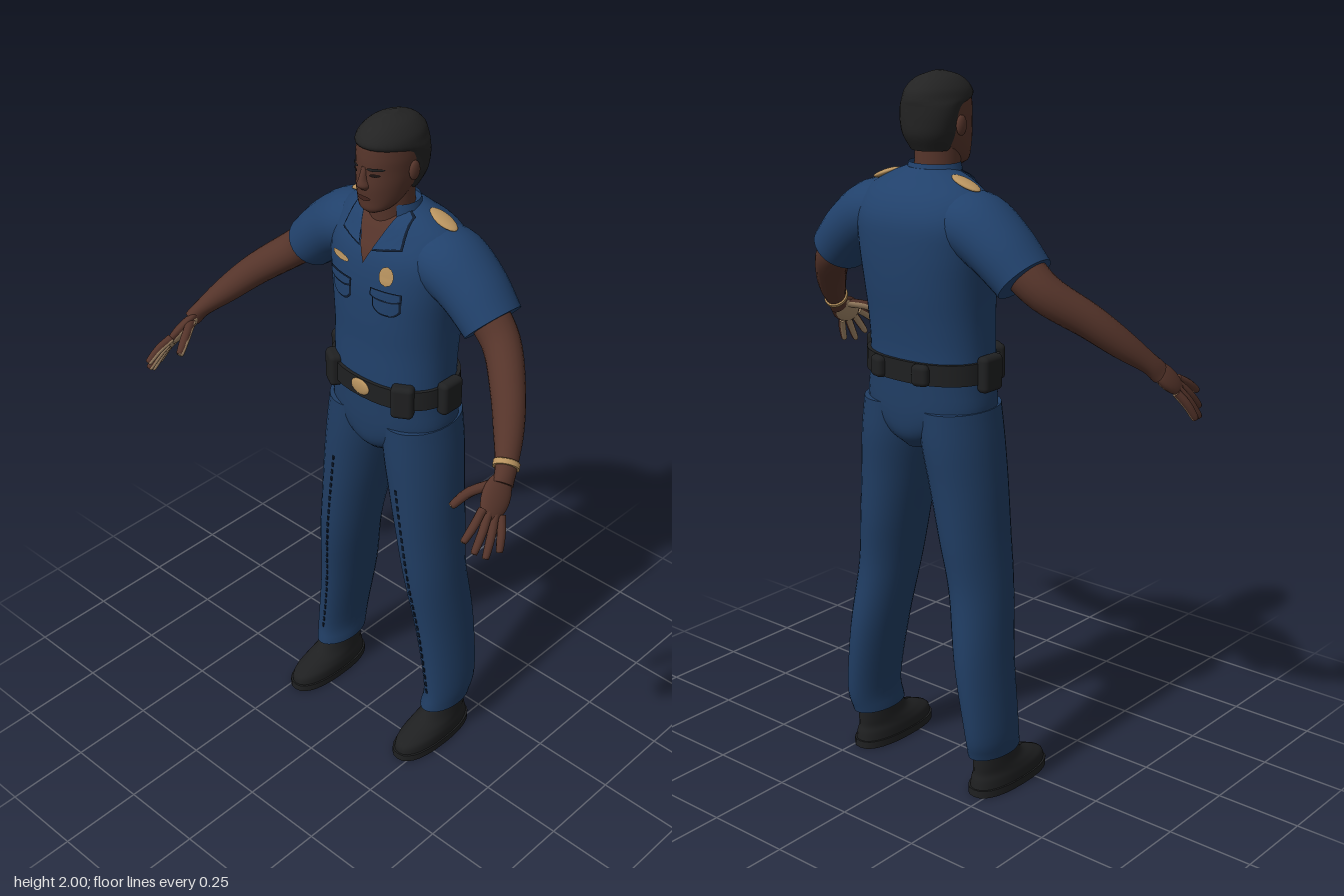
import * as THREE from 'three';
import { RoundedBoxGeometry } from 'three/addons/geometries/RoundedBoxGeometry.js';

const V = (x, y, z) => new THREE.Vector3(x, y, z);
const mat = (name, color, side = THREE.FrontSide) => {
  const m = new THREE.MeshStandardMaterial({ color, side });
  m.name = name;
  return m;
};

// Smoothly interpolated cross-sections; a key is [x, y, z, radiusU, radiusV, squareness]
function sections(keys, count) {
  const pos = new THREE.CatmullRomCurve3(keys.map(k => V(k[0], k[1], k[2])), false, 'catmullrom');
  const rad = new THREE.CatmullRomCurve3(keys.map(k => V(k[3], k[4], k[5] ?? 2)), false, 'catmullrom');
  return Array.from({ length: count + 1 }, (_, i) => {
    const t = i / count, r = rad.getPoint(t);
    return { c: pos.getPoint(t), t: pos.getTangent(t), a: r.x, b: r.y, p: r.z };
  });
}

// Closed skin over the sections: level rings for the body, or rings across the path for limbs
function loft(keys, { across = false, sides = 28, steps = 5 } = {}) {
  const rings = sections(keys, (keys.length - 1) * steps), verts = [], index = [];
  const addRing = ({ c, t, a, b, p }) => {
    const axis = across ? t : V(0, 1, 0);
    const v = V(0, 0, 1).addScaledVector(axis, -axis.z).normalize();
    const u = axis.clone().cross(v);
    for (let j = 0; j < sides; j++) {
      const w = j / sides * Math.PI * 2, co = Math.cos(w), si = Math.sin(w);
      const q = c.clone().addScaledVector(u, a * Math.sign(co) * Math.abs(co) ** (2 / p))
        .addScaledVector(v, b * Math.sign(si) * Math.abs(si) ** (2 / p));
      verts.push(q.x, q.y, q.z);
    }
  };
  rings.forEach(addRing);
  for (let i = 0; i < rings.length - 1; i++) for (let j = 0; j < sides; j++) {
    const a = i * sides + j, b = i * sides + (j + 1) % sides;
    index.push(a, a + sides, b, b, a + sides, b + sides);
  }
  [rings[0], rings[rings.length - 1]].forEach((r, end) => {
    const base = verts.length / 3;
    addRing(r);
    verts.push(r.c.x, r.c.y, r.c.z);
    for (let j = 0; j < sides; j++) {
      const a = base + j, b = base + (j + 1) % sides, m = base + sides;
      index.push(...(end ? [a, m, b] : [a, b, m]));
    }
  });
  const g = new THREE.BufferGeometry();
  g.setAttribute('position', new THREE.Float32BufferAttribute(verts, 3));
  g.setIndex(index);
  g.computeVertexNormals();
  return g;
}

// Front surface depth of a level loft at (x, y)
function frontZ(keys, x, y) {
  const s = sections(keys, 120).reduce((m, r) => Math.abs(r.c.y - y) < Math.abs(m.c.y - y) ? r : m);
  const d = Math.min(1, Math.abs((x - s.c.x) / s.a));
  return s.c.z + s.b * (1 - d ** s.p) ** (1 / s.p);
}

// Thin plate draped over the front of a loft; outline(u, v) gives [x, y]
function drape(keys, lift, outline) {
  const g = new THREE.PlaneGeometry(1, 1, 10, 10), p = g.attributes.position;
  for (let i = 0; i < p.count; i++) {
    const [x, y] = outline(p.getX(i) + 0.5, p.getY(i) + 0.5);
    p.setXYZ(i, x, y, frontZ(keys, x, y) + lift);
  }
  g.computeVertexNormals();
  return g;
}
const oval = (cx, cy, w, h) => (u, v) =>
  [cx + (u - 0.5) * w * Math.sqrt(Math.max(0, 1 - (2 * v - 1) ** 2)), cy + (v - 0.5) * h];
const pocket = (cx, cy, w, h) => (u, v) =>
  [cx + (u - 0.5) * w, cy + h / 2 - (1 - v) * h * (1 - 0.3 * Math.abs(2 * u - 1) ** 3)];

const TORSO = [[0, 1.17, -.115, .188, .132, 2.3], [0, 1.27, -.115, .184, .133, 2.3], [0, 1.36, -.12, .184, .138, 2.3],
  [0, 1.45, -.125, .19, .146, 2.3], [0, 1.55, -.13, .202, .149, 2.3], [0, 1.63, -.135, .21, .141, 2.2],
  [0, 1.69, -.135, .19, .112, 2], [0, 1.73, -.125, .13, .078, 2], [0, 1.755, -.125, .07, .05, 2]];
const PELVIS = [[0, 1, -.117, .05, .09], [0, 1.04, -.117, .13, .125], [0, 1.1, -.117, .192, .135, 2.2], [0, 1.2, -.116, .186, .135, 2.3]];
const HEAD = [[0, 1.752, -.02, .02, .018], [0, 1.765, -.034, .044, .044], [0, 1.79, -.055, .06, .068], [0, 1.83, -.075, .071, .092],
  [0, 1.87, -.085, .076, .1], [0, 1.91, -.088, .078, .102], [0, 1.95, -.09, .071, .094], [0, 1.985, -.09, .035, .05]];
const HAIR = [[0, 1.8, -.12, .055, .05], [0, 1.84, -.125, .074, .067], [0, 1.88, -.127, .081, .07], [0, 1.915, -.115, .083, .083],
  [0, 1.935, -.092, .081, .107], [0, 1.96, -.09, .072, .1], [0, 1.985, -.09, .048, .07], [0, 2, -.09, .012, .02]];
const LEG = [[.222, .12, -.115, .055, .095], [.225, .2, -.13, .056, .1], [.198, .4, -.13, .065, .108], [.17, .6, -.11, .076, .11],
  [.148, .75, -.111, .085, .119], [.127, .9, -.113, .096, .125], [.11, 1.02, -.117, .102, .131], [.1, 1.12, -.118, .098, .13]];
const SHOE = [[.222, .015, -.052, .058, .148, 2.3], [.222, .045, -.054, .057, .143, 2.2], [.222, .065, -.07, .053, .122],
  [.222, .09, -.1, .048, .092], [.222, .14, -.118, .045, .075]];
const SOLE = [[.222, 0, -.052, .062, .152, 2.4], [.222, .022, -.052, .062, .152, 2.4]];
const SLEEVE = [[.1, 1.63, -.135, .075, .095], [.17, 1.62, -.135, .09, .107], [.25, 1.57, -.135, .085, .1], [.325, 1.5, -.13, .076, .09]];
const ARM = [[.28, 1.55, -.125, .06, .06], [.37, 1.47, -.11, .052, .052], [.46, 1.395, -.035, .046, .046],
  [.52, 1.33, .03, .038, .04], [.565, 1.275, .09, .025, .031], [.58, 1.245, .12, .022, .033]];
const BRACELET = [[.559, 1.283, .081, .031, .037], [.566, 1.274, .092, .031, .037]];
const FINGERS = [[.595, 1.165, .28], [.615, 1.13, .262], [.632, 1.11, .237], [.645, 1.115, .2]];

export function createModel() {
  const root = new THREE.Group();
  root.name = 'officer';
  const shirt = mat('shirt blue', 0x21416b, THREE.DoubleSide), trouser = mat('trouser blue', 0x203d63);
  const skin = mat('skin brown', 0x55342a), palm = mat('palm tan', 0xa68a6a), hair = mat('hair black', 0x232323);
  const leather = mat('leather black', 0x1f2021), gold = mat('gold', 0xb8935f);
  const seam = mat('seam navy', 0x0f1c2f), lip = mat('lip brown', 0x45261f), eye = mat('eye dark', 0x1d1412);
  const add = (name, geo, material, parent = root) => {
    const m = new THREE.Mesh(geo, material);
    m.name = name;
    parent.add(m);
    return m;
  };
  const ball = new THREE.SphereGeometry(1, 20, 14);
  const flip = (keys, s) => keys.map(([x, ...rest]) => [x * s, ...rest]);

  // Head and neck
  add('head', loft(HEAD), skin);
  add('hair', loft(HAIR), hair);
  add('neck', loft([[0, 1.66, -.1, .06, .066], [0, 1.73, -.095, .061, .064], [0, 1.81, -.09, .058, .066]]), skin);
  add('nose', loft([[0, 1.823, .008, .014, .012], [0, 1.836, .013, .018, .02], [0, 1.855, .013, .011, .015], [0, 1.885, .008, .008, .008]]), skin);
  add('lips', drape(HEAD, .004, oval(0, 1.8, .046, .015)), lip);

  // Torso, open neckline, badges and belt
  add('shirt', loft(TORSO, { sides: 40 }), shirt);
  add('hips', loft(PELVIS, { sides: 40 }), trouser);
  add('neckline', drape(TORSO, .006, (u, v) => [(u - .5) * .124 * v, 1.61 + .13 * v]), skin);
  const collar = add('collar', new THREE.CylinderGeometry(.071, .09, .065, 28, 1, true, .75, Math.PI * 2 - 1.5), shirt);
  collar.position.set(0, 1.735, -.105);
  collar.scale.z = .92;
  add('chestBadge', drape(TORSO, .009, oval(.08, 1.598, .042, .055)), gold);
  add('nameBar', drape(TORSO, .009, oval(-.085, 1.6, .072, .02)), gold);
  add('belt', loft([[0, 1.198, -.115, .196, .143, 2.3], [0, 1.256, -.115, .194, .143, 2.3]], { sides: 40 }), leather);
  const buckle = add('buckle', ball, gold);
  buckle.position.set(0, 1.23, .028);
  buckle.scale.set(.033, .024, .007);

  for (const s of [-1, 1]) {
    const side = new THREE.Group();
    side.name = s > 0 ? 'leftSide' : 'rightSide';
    root.add(side);
    const put = (name, geo, m) => add(name, geo, m, side);

    // Face details
    put('brow', drape(HEAD, .005, oval(s * .034, 1.884, .04, .009)), hair);
    put('eye', drape(HEAD, .004, oval(s * .033, 1.868, .024, .009)), eye);
    const ear = put('ear', ball, skin);
    ear.position.set(s * .08, 1.865, -.09);
    ear.scale.set(.01, .027, .018);

    // Collar flaps with dark edging
    const flap = grow => (u, v) => {
      if (s < 0) u = 1 - u;
      const inner = .022 + .04 * v, outer = .1 - .01 * v + grow;
      return [s * THREE.MathUtils.lerp(inner, outer, u), THREE.MathUtils.lerp(1.655 + .018 * u - grow, 1.755 - .015 * u, v)];
    };
    put('collarEdge', drape(TORSO, .008, flap(.005)), seam);
    put('collarFlap', drape(TORSO, .012, flap(0)), shirt);

    // Chest pocket with flap
    put('pocketEdge', drape(TORSO, .003, pocket(s * .08, 1.515, .084, .07)), seam);
    put('pocket', drape(TORSO, .006, pocket(s * .08, 1.515, .074, .06)), shirt);
    put('flapEdge', drape(TORSO, .008, pocket(s * .08, 1.54, .092, .032)), seam);
    put('pocketFlap', drape(TORSO, .011, pocket(s * .08, 1.542, .084, .024)), shirt);

    const epaulette = put('shoulderBadge', ball, gold);
    epaulette.position.set(s * .138, 1.727, -.14);
    epaulette.rotation.z = -s * .35;
    epaulette.scale.set(.048, .009, .024);

    // Belt pouches at the front, side and back
    for (const [deg, w, h, d] of [[50, .064, .1, .04], [0, .078, .1, .036], [-112, .05, .06, .035]]) {
      const a = deg * Math.PI / 180, x = Math.cos(a), z = Math.sin(a);
      const pouch = put('beltPouch', new RoundedBoxGeometry(w, h, d, 3, .014), leather);
      pouch.position.set(s * .2 * x, 1.225, -.115 + .146 * z);
      pouch.rotation.y = Math.atan2(s * x / .2, z / .146);
    }

    // Leg, dashed front seam and shoe
    put('trouserLeg', loft(flip(LEG, s)), trouser);
    for (let i = 0; i < 28; i++) {
      const y = .92 - i * .027, x = .122 + (.92 - y) * .135;
      const dash = put('seamStitch', new THREE.BoxGeometry(.006, .015, .005), seam);
      dash.position.set(s * x, y, frontZ(LEG, x, y));
      dash.rotation.z = s * .13;
    }
    put('shoe', loft(flip(SHOE, s)), leather);
    put('sole', loft(flip(SOLE, s)), leather);

    // Sleeve and arm
    put('sleeve', loft(flip(SLEEVE, s), { across: true }), shirt);
    put('arm', loft(flip(ARM, s), { across: true, sides: 20 }), skin);
    if (s > 0) put('bracelet', loft(BRACELET, { across: true }), gold);

    // Hand: flattened palm, lighter inner face, four fingers and a thumb
    const along = V(s * .26, -.6, .755).normalize(), spread = V(s * .47, -.47, -.75).normalize();
    const up = spread.clone().cross(along).normalize(), across = along.clone().cross(up);
    const inward = up.clone().multiplyScalar(s);
    const slab = (name, m, size, shift) => {
      const o = put(name, ball, m);
      o.quaternion.setFromRotationMatrix(new THREE.Matrix4().makeBasis(along, up, across));
      o.scale.set(...size);
      o.position.set(s * .585, 1.225, .15).addScaledVector(inward, shift);
    };
    slab('hand', skin, [.066, .018, .042], 0);
    slab('palm', palm, [.058, .014, .036], .007);
    const digit = (name, a, b, c, r) => {
      const path = (shift, k) => [[a, r], [b, r], [c, r * .8], [c.clone().lerp(b, -.12), r * .3]].map(([p, q]) => {
        const w = p.clone().addScaledVector(inward, shift);
        return [w.x, w.y, w.z, q * k, q * k];
      });
      put(name, loft(path(0, 1), { across: true, sides: 10, steps: 3 }), skin);
      put(name + 'Pad', loft(path(.0035, .85), { across: true, sides: 10, steps: 3 }), palm);
    };
    FINGERS.forEach(([x, y, z], i) => {
      const root = V(s * .598, 1.2, .18).addScaledVector(spread, (i - 1.5) * .019), tip = V(s * x, y, z);
      const mid = root.clone().lerp(tip, .5).addScaledVector(inward, -.004);
      digit('finger', root, mid, tip, .0115);
    });
    digit('thumb', V(s * .567, 1.25, .135), V(s * .532, 1.235, .19), V(s * .513, 1.207, .23), .0135);
  }
  return root;
}
